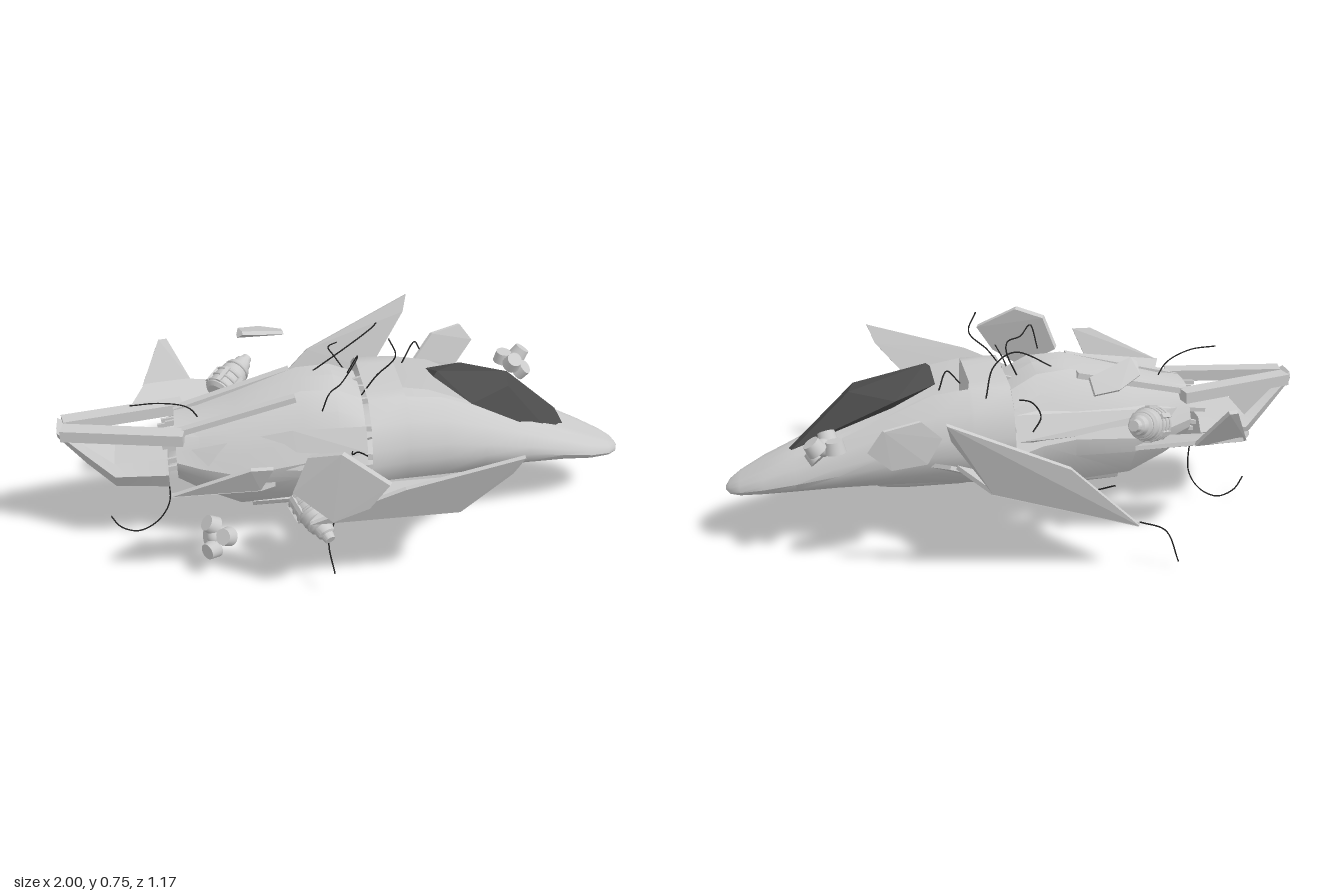
import * as THREE from 'three';
import { toCreasedNormals } from 'three/addons/utils/BufferGeometryUtils.js';
import { ConvexGeometry } from 'three/addons/geometries/ConvexGeometry.js';

const grey = new THREE.MeshStandardMaterial({ color: 0xcccccc, side: THREE.DoubleSide });
const dark = new THREE.MeshStandardMaterial({ color: 0x4c4c4c, side: THREE.DoubleSide });
const black = new THREE.MeshStandardMaterial({ color: 0x222222 });
const V = (p) => new THREE.Vector3(...p);

export function createModel() {
  const root = new THREE.Group();
  const add = (name, geo, mat = grey, parent = root) => {
    const m = new THREE.Mesh(geo, mat);
    m.name = name;
    parent.add(m);
    return m;
  };

  // Skin through stations [x, zCentre, halfWidth, yBottom, yTop, dip of the top middle]
  const loft = (stations, ring, crease, capEnds = []) => {
    const pos = [], idx = [], n = ring.length;
    for (const [x, zc, hw, yb, yt, dip = 0] of stations)
      for (const [u, v] of ring)
        pos.push(x, (yb + yt) / 2 + v * (yt - yb) / 2 - (v > 0.8 && Math.abs(u) < 0.4 ? dip : 0), zc + u * hw);
    for (let i = 0; i < stations.length - 1; i++)
      for (let j = 0; j < n; j++) {
        const a = i * n + j, b = i * n + (j + 1) % n;
        idx.push(a, a + n, b, b, a + n, b + n);
      }
    for (const e of capEnds)
      for (let j = 1; j < n - 1; j++) idx.push(e * n, e * n + j, e * n + j + 1);
    const g = new THREE.BufferGeometry();
    g.setAttribute('position', new THREE.Float32BufferAttribute(pos, 3));
    g.setIndex(idx);
    return toCreasedNormals(g, crease);
  };
  const mirrorRing = (half) => [...half, ...half.slice(1, -1).reverse().map(([u, v]) => [-u, v])];

  // Flat panel from its corners, thickened along its normal
  const plate = (name, corners, t = 0.014) => {
    const p = corners.map(V);
    const n = p[1].clone().sub(p[0]).cross(p[2].clone().sub(p[0])).setLength(t / 2);
    return add(name, new ConvexGeometry(p.flatMap((q) => [q.clone().add(n), q.clone().sub(n)])));
  };
  // Square bar between two points
  const beam = (name, a, b, w, h) => {
    const A = V(a), B = V(b);
    const m = add(name, new THREE.BoxGeometry(w, h, A.distanceTo(B)));
    m.position.copy(A).add(B).multiplyScalar(0.5);
    m.lookAt(B);
    return m;
  };

  // Blunt nose hull with cockpit recess
  const noseRing = mirrorRing([[0, 1], [0.36, 1], [0.56, 0.98], [0.84, 0.68], [0.96, 0.25],
    [0.99, -0.05], [0.9, -0.45], [0.69, -0.78], [0.38, -0.95], [0, -1]]);
  add('noseHull', loft([
    [0.04, -0.03, 0.28, 0.19, 0.565], [0.17, -0.03, 0.265, 0.195, 0.565], [0.18, -0.03, 0.264, 0.195, 0.563, 0.1],
    [0.3, -0.03, 0.248, 0.2, 0.545, 0.1], [0.45, -0.04, 0.22, 0.21, 0.475, 0.09], [0.62, -0.045, 0.185, 0.212, 0.395, 0.06],
    [0.76, -0.045, 0.152, 0.205, 0.33, 0], [0.87, -0.04, 0.12, 0.195, 0.28], [0.95, -0.04, 0.08, 0.187, 0.242],
    [0.985, -0.04, 0.047, 0.187, 0.222], [1, -0.04, 0.01, 0.197, 0.205]], noseRing, 0.7));

  // Rounded belly pod under the nose hull
  const podRing = Array.from({ length: 24 }, (_, i) => [Math.sin(i * Math.PI / 12), Math.cos(i * Math.PI / 12)]);
  add('bellyPod', loft([[0.11, -0.02, 0.15, 0.18, 0.34], [0.2, -0.02, 0.16, 0.17, 0.34], [0.4, -0.025, 0.15, 0.17, 0.34],
    [0.48, -0.03, 0.13, 0.177, 0.33], [0.525, -0.03, 0.1, 0.195, 0.32], [0.54, -0.03, 0.06, 0.215, 0.3]], podRing, 0.8, [0, 5]));

  // Detached faceted canopy
  add('canopy', new ConvexGeometry([[0.28, 0.55, -0.09], [0.3, 0.59, 0.01], [0.285, 0.575, 0.02], [0.42, 0.525, -0.16],
    [0.4, 0.515, 0.122], [0.57, 0.53, -0.06], [0.55, 0.525, 0.035], [0.77, 0.345, -0.09], [0.78, 0.322, -0.02],
    [0.72, 0.318, 0.045], [0.43, 0.49, 0.1], [0.43, 0.49, -0.13]].map(V)), dark);

  // Faceted rear hull with a broad deck
  const rearRing = mirrorRing([[0, 1], [0.4, 0.96], [0.66, 0.72], [0.84, 0.35], [1, 0.0], [0.95, -0.3], [0.55, -0.92], [0, -1]]);
  add('rearHull', loft([[0.03, -0.04, 0.25, 0.17, 0.54], [-0.06, -0.03, 0.235, 0.16, 0.585], [-0.18, -0.02, 0.215, 0.16, 0.59],
    [-0.4, 0, 0.195, 0.165, 0.525], [-0.53, 0, 0.15, 0.22, 0.49], [-0.61, 0, 0.13, 0.27, 0.48]], rearRing, 0.45));
  add('bellyPlate', new ConvexGeometry([[-0.36, 0.158, 0.1], [-0.36, 0.158, -0.1], [0.09, 0.158, 0.1], [0.09, 0.158, -0.14],
    [-0.36, 0.18, 0.11], [-0.36, 0.18, -0.11], [0.09, 0.19, 0.13], [0.09, 0.19, -0.17]].map(V)));
  for (const s of [-1, 1]) {
    beam('dorsalRail', [-0.2, 0.565, -0.02 + s * 0.1], [-0.61, 0.462, s * 0.08], 0.03, 0.02);
    // Swept shoulder fairing beside the spine
    add('shoulderFairing', new ConvexGeometry([[0.03, 0.48, s * 0.2 - 0.04], [0.03, 0.4, s * 0.24 - 0.04], [-0.22, 0.48, s * 0.15],
      [-0.56, 0.42, s * 0.125], [-0.5, 0.36, s * 0.155], [-0.2, 0.35, s * 0.2]].map(V)));
  }

  // Torn stubs across the break
  for (let i = 0; i < 11; i++) {
    const a = i / 11 * Math.PI * 2, z = -0.03 + 0.2 * Math.cos(a), y = 0.38 + 0.15 * Math.sin(a);
    beam('tornStub', [-0.01, y, z], [0.05 + 0.03 * (i % 3), y + 0.012 * ((i % 4) - 1.5), z * 0.96], 0.012, 0.02);
    beam('tailStub', [-0.58, 0.38 + 0.08 * Math.sin(a), 0.1 * Math.cos(a)],
      [-0.64 - 0.015 * (i % 3), 0.37 + 0.08 * Math.sin(a), 0.1 * Math.cos(a)], 0.01, 0.014);
  }

  // Tail: lower body sweeping up to the tip, two prongs above
  const boxRing = mirrorRing([[0, 1], [0.75, 1], [1, 0.3], [0.8, -0.7], [0.4, -1], [0, -1]]);
  add('tailBody', loft([[-0.64, -0.01, 0.145, 0.25, 0.375], [-0.82, -0.005, 0.115, 0.26, 0.36],
    [-0.91, 0, 0.075, 0.345, 0.425], [-1, 0, 0.045, 0.45, 0.49]], boxRing, 0.5, [0, 3]));
  for (const s of [-1, 1])
    beam('tailProng', [-0.985, 0.468, s * 0.03], [-0.58, 0.458, s * 0.11 - 0.005], 0.055, 0.04);

  // Left wing, level, with raised tip fin
  plate('leftWingRoot', [[-0.14, 0.25, 0.15], [0.47, 0.25, 0.15], [0.4, 0.315, 0.27], [-0.06, 0.315, 0.27]]);
  plate('leftWing', [[-0.06, 0.315, 0.27], [0.4, 0.315, 0.27], [0.285, 0.32, 0.465], [-0.2, 0.32, 0.465]]);
  plate('leftTipFin', [[-0.2, 0.32, 0.465], [0.29, 0.32, 0.465], [0.44, 0.49, 0.52], [0.47, 0.56, 0.545], [0.1, 0.455, 0.51]]);

  // Right wing, torn loose and pitched up, with raised tip fin
  plate('rightWingRoot', [[-0.14, 0.16, -0.17], [0.4, 0.31, -0.17], [0.26, 0.345, -0.32], [-0.2, 0.2, -0.32]]);
  plate('rightWing', [[-0.2, 0.2, -0.32], [0.24, 0.345, -0.32], [0.15, 0.335, -0.506], [-0.33, 0.18, -0.506]]);
  plate('rightTipFin', [[-0.33, 0.18, -0.506], [0.15, 0.335, -0.506], [0.285, 0.55, -0.555], [0.3, 0.61, -0.578], [-0.09, 0.42, -0.545]]);

  // Canted tail planes, each with an upturned lip
  plate('leftTailPlane', [[-0.57, 0.335, 0.245], [-0.29, 0.335, 0.245], [-0.35, 0.435, 0.415], [-0.63, 0.411, 0.375]]);
  plate('leftTailLip', [[-0.63, 0.411, 0.375], [-0.35, 0.435, 0.415], [-0.31, 0.53, 0.45], [-0.38, 0.53, 0.447]]);
  plate('rightTailPlane', [[-0.78, 0.36, -0.25], [-0.48, 0.35, -0.21], [-0.345, 0.39, -0.37], [-0.56, 0.405, -0.395], [-0.7, 0.41, -0.405]]);
  plate('rightTailLip', [[-0.72, 0.4, -0.38], [-0.54, 0.4, -0.395], [-0.62, 0.54, -0.475], [-0.65, 0.54, -0.47]]);

  // Loose armour panels
  plate('sidePanel', [[-0.25, 0.45, 0.468], [-0.2, 0.577, 0.47], [-0.1, 0.605, 0.512], [0.04, 0.52, 0.575], [-0.02, 0.43, 0.56], [-0.13, 0.365, 0.525]], 0.026);
  plate('nosePanel', [[0.29, 0.46, -0.335], [0.36, 0.54, -0.375], [0.48, 0.54, -0.435], [0.53, 0.47, -0.44], [0.46, 0.39, -0.4], [0.34, 0.38, -0.35]], 0.012);
  plate('roofPanel', [[-0.37, 0.645, -0.25], [-0.35, 0.66, -0.24], [-0.2, 0.62, -0.3], [-0.2, 0.59, -0.38], [-0.28, 0.605, -0.385], [-0.36, 0.63, -0.33]], 0.014);

  // Ejected engines: ribbed barrel narrowing to a nozzle
  const profile = [[0, -0.1], [0.04, -0.1], [0.055, -0.09], [0.055, -0.01], [0.05, -0.005], [0.05, 0.015], [0.042, 0.02],
    [0.042, 0.045], [0.034, 0.05], [0.03, 0.075], [0.022, 0.08], [0.018, 0.1], [0, 0.1]].map((p) => new THREE.Vector2(...p));
  const engine = (name, at, dir) => {
    const g = new THREE.Group();
    g.name = name;
    add('engineBarrel', toCreasedNormals(new THREE.LatheGeometry(profile, 20), 0.5), grey, g);
    for (const y of [-0.08, -0.05, -0.02, 0.03]) {
      const r = add('engineBand', new THREE.TorusGeometry(y > 0 ? 0.043 : 0.056, 0.005, 6, 20), grey, g);
      r.rotation.x = Math.PI / 2;
      r.position.y = y;
    }
    for (let i = 0; i < 6; i++) {
      const b = add('enginePipe', new THREE.BoxGeometry(0.012, 0.07, 0.016), grey, g);
      b.position.set(0.057 * Math.cos(i * Math.PI / 3), -0.05, 0.057 * Math.sin(i * Math.PI / 3));
      b.rotation.y = -i * Math.PI / 3;
    }
    g.position.set(...at);
    g.quaternion.setFromUnitVectors(new THREE.Vector3(0, 1, 0), V(dir).normalize());
    root.add(g);
  };
  engine('leftEngine', [-0.165, 0.24, 0.315], [0.07, -0.08, 0.15]);
  engine('rightEngine', [-0.39, 0.45, -0.32], [0.1, 0.05, -0.12]);

  // Loose thruster clusters: overlapping discs around a hub
  const cluster = (name, at, rot) => {
    const g = new THREE.Group();
    g.name = name;
    add('clusterHub', new THREE.SphereGeometry(0.03, 14, 10), grey, g);
    for (let i = 0; i < 4; i++) {
      const a = i * Math.PI / 2 + 0.6;
      const d = add('clusterDisc', new THREE.CylinderGeometry(0.028, 0.034, 0.04, 16), grey, g);
      d.position.set(0.042 * Math.cos(a), i % 2 ? 0.018 : -0.012, 0.042 * Math.sin(a));
      d.rotation.set(0.35 * Math.sin(a), 0, -0.35 * Math.cos(a));
    }
    g.position.set(...at);
    g.rotation.set(...rot);
    root.add(g);
  };
  cluster('noseCluster', [0.665, 0.44, -0.3], [0.3, 0, -0.4]);
  cluster('tailCluster', [-0.5, 0.145, 0.25], [0.5, 0.3, 1.0]);

  // Torn cables
  const cables = [
    [[-0.86, 0.08, -0.02], [-0.83, 0.03, -0.02], [-0.77, 0.006, -0.02], [-0.7, 0.04, -0.02], [-0.65, 0.12, -0.02], [-0.65, 0.27, -0.02]],
    [[0.12, 0.75, 0.05], [0.145, 0.68, 0.05], [0.08, 0.61, 0.05], [0.03, 0.54, 0.05]],
    [[-0.12, 0.56, 0.17], [-0.1, 0.64, 0.2], [-0.05, 0.63, 0.12], [0.02, 0.65, 0], [0.03, 0.63, -0.06], [0, 0.56, -0.08]],
    [[-0.14, 0.57, -0.07], [0, 0.65, -0.1], [0.1, 0.65, -0.22], [0.15, 0.6, -0.37]],
    [[0.2, 0.56, -0.12], [0.25, 0.62, -0.16], [0.28, 0.57, -0.2]],
    [[-0.33, 0.19, -0.505], [-0.42, 0.15, -0.505], [-0.47, 0.03, -0.505]],
    [[-0.75, 0.57, 0.06], [-0.65, 0.565, 0.05], [-0.56, 0.53, 0.03], [-0.52, 0.47, 0.02]],
    [[0, 0.505, 0.385], [-0.02, 0.47, 0.3], [-0.03, 0.43, 0.25], [-0.02, 0.4, 0.18]],
    [[-0.12, 0.1, 0.455], [-0.13, 0.17, 0.38], [-0.1, 0.2, 0.29], [-0.1, 0.25, 0.15]],
    [[0.01, 0.5, -0.43], [-0.03, 0.52, -0.36], [-0.02, 0.53, -0.26], [0.02, 0.5, -0.15]],
    [[-0.1, 0.22, -0.21], [-0.2, 0.23, -0.33], [-0.27, 0.285, -0.42]],
  ];
  for (const c of cables)
    add('cable', new THREE.TubeGeometry(new THREE.CatmullRomCurve3(c.map(V)), 32, 0.0025, 6), black);
  return root;
}
